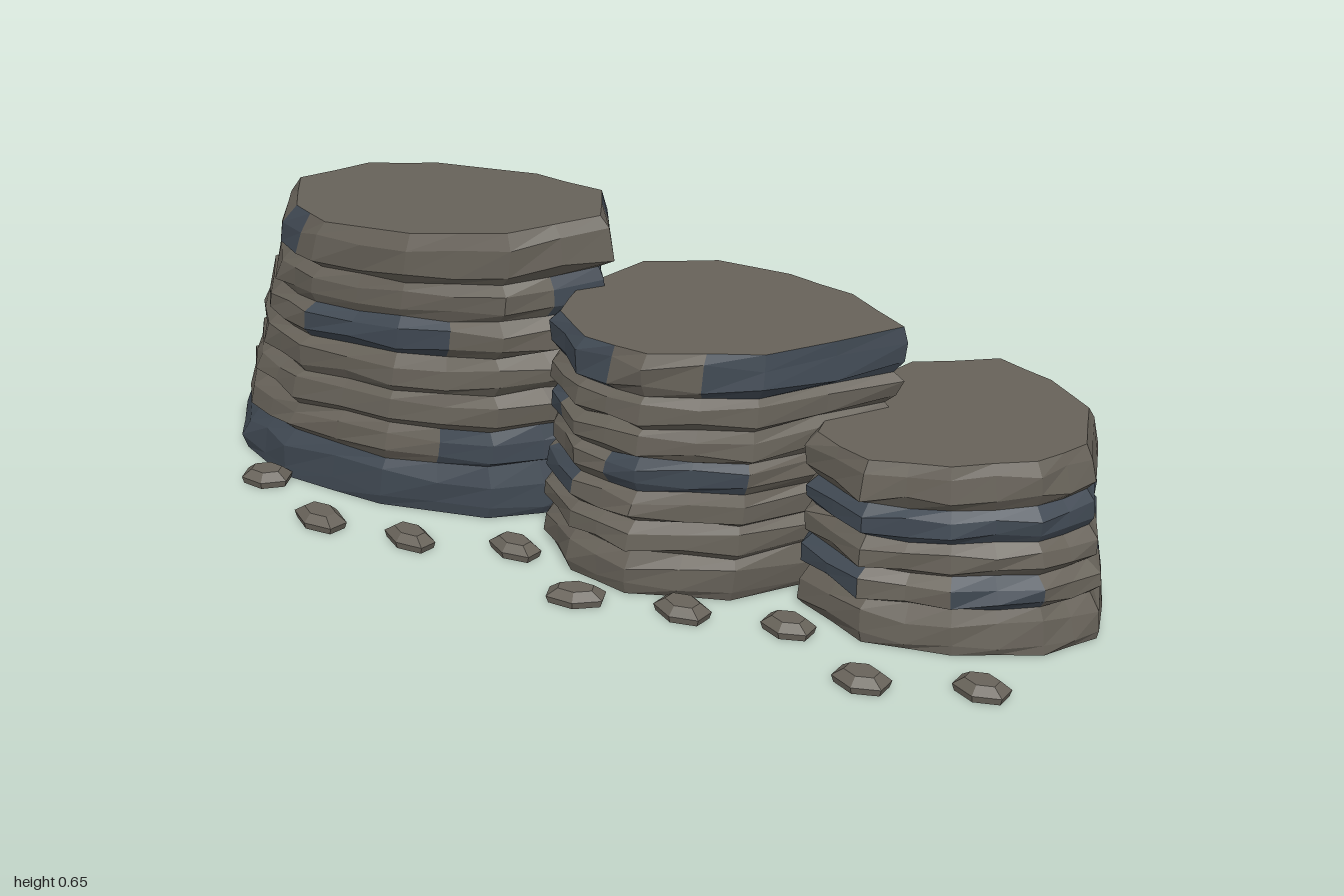
import * as THREE from 'three';

const brown = new THREE.MeshStandardMaterial({ color: 0x68635a });
brown.name = 'brown stone';
const slate = new THREE.MeshStandardMaterial({ color: 0x414a54 });
slate.name = 'blue slate';

// Seeded random numbers for chipped edges
function seeded(s) {
  return () => {
    s = (s * 16807) % 2147483647;
    return s / 2147483647;
  };
}

// Flat-faceted mesh from any geometry
function facetedMesh(geometry, material, name) {
  geometry.computeVertexNormals();
  const mesh = new THREE.Mesh(geometry, material);
  mesh.name = name;
  return mesh;
}

function meshFrom(positions, material, name) {
  const g = new THREE.BufferGeometry();
  g.setAttribute('position', new THREE.Float32BufferAttribute(positions, 3));
  return facetedMesh(g, material, name);
}

// A stack of stone layers. The outline runs from the left tip past the front,
// right and back; baseX is the x range it is stretched to at the ground.
// Each patch is [layer, from, to], with from and to as fractions of the loop.
function rockStack({ name, seed, layers, height, tilt, baseX, outline, patches }) {
  const rnd = seeded(seed), n = outline.length * 2;

  // Outline with an extra corner halfway along each edge
  const corners = outline.flatMap(([x, z], i) => {
    const [x2, z2] = outline[(i + 1) % outline.length];
    return [[x, z], [(x + x2) / 2, (z + z2) / 2]];
  });
  const xs = outline.map(p => p[0]), zs = outline.map(p => p[1]);
  const minX = Math.min(...xs), maxX = Math.max(...xs);
  const midZ = (Math.min(...zs) + Math.max(...zs)) / 2;

  // A tilted loop around the stack at height y
  function ring(y, scale, chip, wobble) {
    const t = y / height;
    const left = THREE.MathUtils.lerp(baseX[0], minX, t);
    const right = THREE.MathUtils.lerp(baseX[1], maxX, t);
    const midX = (left + right) / 2;
    return corners.map(([px, pz]) => {
      const s = scale - chip * rnd();
      const x = midX + (THREE.MathUtils.mapLinear(px, minX, maxX, left, right) - midX) * s;
      return [x, y + tilt * t * (x - midX) + wobble * (rnd() - .5), midZ + (pz - midZ) * s];
    });
  }

  const faces = { brown: [], slate: [] };
  const tri = (kind, a, b, c) => faces[kind].push(...a, ...b, ...c);
  const kindAt = (layer, f) =>
    patches.some(([l, from, to]) => l === layer && f > from && f < to) ? 'slate' : 'brown';

  // Ground face
  let seam = ring(0, .97, .02, 0);
  const ground = [(baseX[0] + baseX[1]) / 2, 0, midZ];
  seam.forEach((p, k) => tri(kindAt(0, .5), ground, seam[(k + 1) % n], p));

  // Each layer bulges between two recessed seams; end layers are thicker
  const thin = height / (layers + .7);
  let y = 0;
  for (let layer = 0; layer < layers; layer++) {
    const last = layer === layers - 1;
    const h = thin * (layer === 0 || last ? 1.35 : 1);
    const size = 1.02 - .025 * rnd();
    const loops = [
      seam,
      ring(y + h * .22, size, .04, h * .2),
      ring(y + h * .7, size - .005, .04, h * .2),
      ring(y + h, last ? .95 : .935, .03, last ? 0 : h * .15),
    ];
    for (let r = 0; r < 3; r++) {
      const lo = loops[r], hi = loops[r + 1];
      for (let k = 0; k < n; k++) {
        const j = (k + 1) % n, kind = kindAt(layer, (k + .5) / n);
        tri(kind, lo[k], lo[j], hi[j]);
        tri(kind, lo[k], hi[j], hi[k]);
      }
    }
    seam = loops[3];
    y += h;
  }

  // Sloping flat top
  const peak = [(minX + maxX) / 2, height, midZ];
  seam.forEach((p, k) => tri('brown', peak, p, seam[(k + 1) % n]));

  const group = new THREE.Group();
  group.name = name;
  group.add(meshFrom(faces.brown, brown, 'brownLayers'), meshFrom(faces.slate, slate, 'slatePatches'));
  return group;
}

// Flat angular pebble
function pebble(x, z, rnd) {
  const profile = [[0, 0], [.92, 0], [1, .014], [.6, .03], [0, .03]].map(p => new THREE.Vector2(...p));
  const mesh = facetedMesh(new THREE.LatheGeometry(profile, 6).toNonIndexed(), brown, 'pebble');
  mesh.position.set(x, 0, z);
  mesh.scale.set(.055 + .012 * rnd(), 1, .036 + .008 * rnd());
  mesh.rotation.y = (rnd() - .5) * .7;
  return mesh;
}

export function createModel() {
  const model = new THREE.Group();
  model.name = 'layeredRockCliff';

  model.add(rockStack({
    name: 'tallRockStack', seed: 71, layers: 7, height: .61, tilt: .1, baseX: [-1, -.08],
    outline: [[-.83, -.05], [-.73, .11], [-.6, .18], [-.38, .19], [-.18, .13],
      [-.04, -.02], [-.13, -.16], [-.32, -.22], [-.58, -.22], [-.74, -.18]],
    patches: [[0, 0, 1], [1, .35, .5], [1, .7, .8], [4, .2, .35], [5, .45, .6], [6, .1, .15], [6, .55, .65]],
  }));

  model.add(rockStack({
    name: 'middleRockStack', seed: 523, layers: 7, height: .52, tilt: .07, baseX: [-.14, .5],
    outline: [[-.13, 0], [-.1, .13], [.02, .23], [.18, .26], [.4, .18],
      [.59, -.05], [.42, -.17], [.25, -.22], [.07, -.24], [-.08, -.18]],
    patches: [[2, .1, .2], [3, .25, .4], [3, .6, .7], [4, .1, .15], [6, .05, .25], [6, .35, .6], [6, .8, .9]],
  }));

  model.add(rockStack({
    name: 'lowRockStack', seed: 909, layers: 5, height: .38, tilt: .06, baseX: [.41, 1],
    outline: [[.42, -.07], [.45, .12], [.6, .2], [.76, .16], [.9, .07],
      [.96, -.04], [.9, -.2], [.78, -.3], [.64, -.36], [.48, -.27]],
    patches: [[1, 0, .2], [1, .3, .4], [1, .55, .75], [2, .55, .65], [3, .1, .6], [3, .8, .9]],
  }));

  // Pebbles scattered along the front
  const rnd = seeded(37);
  [.21, .305, .285, .215, .32, .265, .22, .325, .245]
    .forEach((z, i) => model.add(pebble(-.74 + .2025 * i, z, rnd)));
  return model;
}
